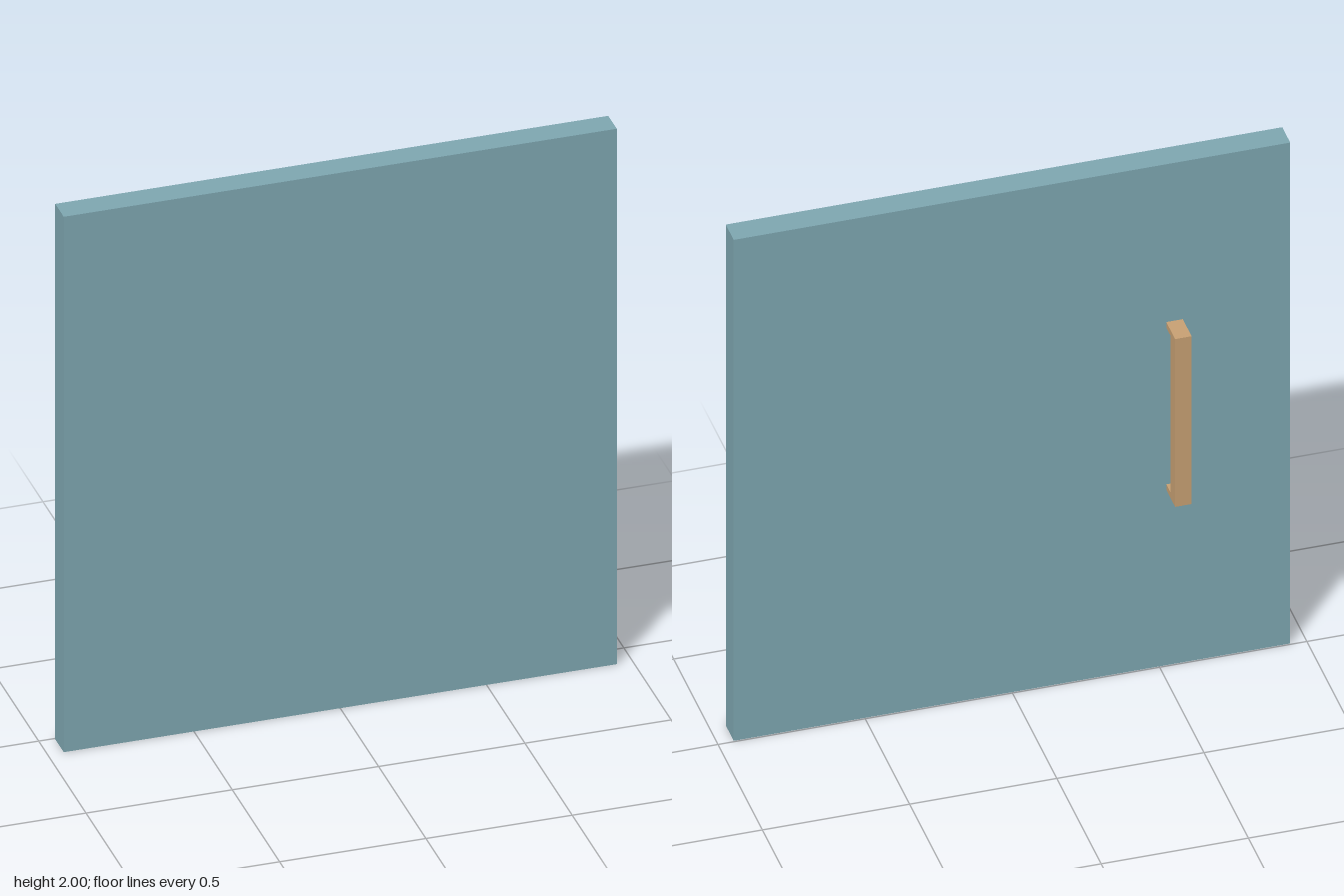
import * as THREE from 'three';

export function createModel() {
  const group = new THREE.Group();
  const panelMaterial = new THREE.MeshStandardMaterial({ color: 0x7fa8b2 });
  const handleMaterial = new THREE.MeshStandardMaterial({ color: 0xc9a274 });

  // Flat door slab
  const panel = new THREE.Mesh(new THREE.BoxGeometry(1.89, 2, 0.09), panelMaterial);
  panel.name = 'doorPanel';
  panel.position.set(0, 1, 0.05);
  group.add(panel);

  // Pull handle: a squared U in the (z, y) plane, extruded across its width
  const width = 0.056, wall = 0.005, outer = -0.095, inner = -0.04;
  const bottom = 0.7, top = 1.37, leg = 0.022;
  const outline = [
    [wall, bottom], [wall, bottom + leg], [inner, bottom + leg], [inner, top - leg],
    [wall, top - leg], [wall, top], [outer, top], [outer, bottom],
  ];
  // Shape x runs along -z so that a quarter turn stands it on the back face
  const shape = new THREE.Shape(outline.map(([z, y]) => new THREE.Vector2(-z, y)));
  const geometry = new THREE.ExtrudeGeometry(shape, { depth: width, bevelEnabled: false });
  geometry.translate(0, 0, -width / 2);
  geometry.rotateY(Math.PI / 2);
  const handle = new THREE.Mesh(geometry, handleMaterial);
  handle.name = 'pullHandle';
  handle.position.x = -0.552;
  group.add(handle);

  return group;
}
